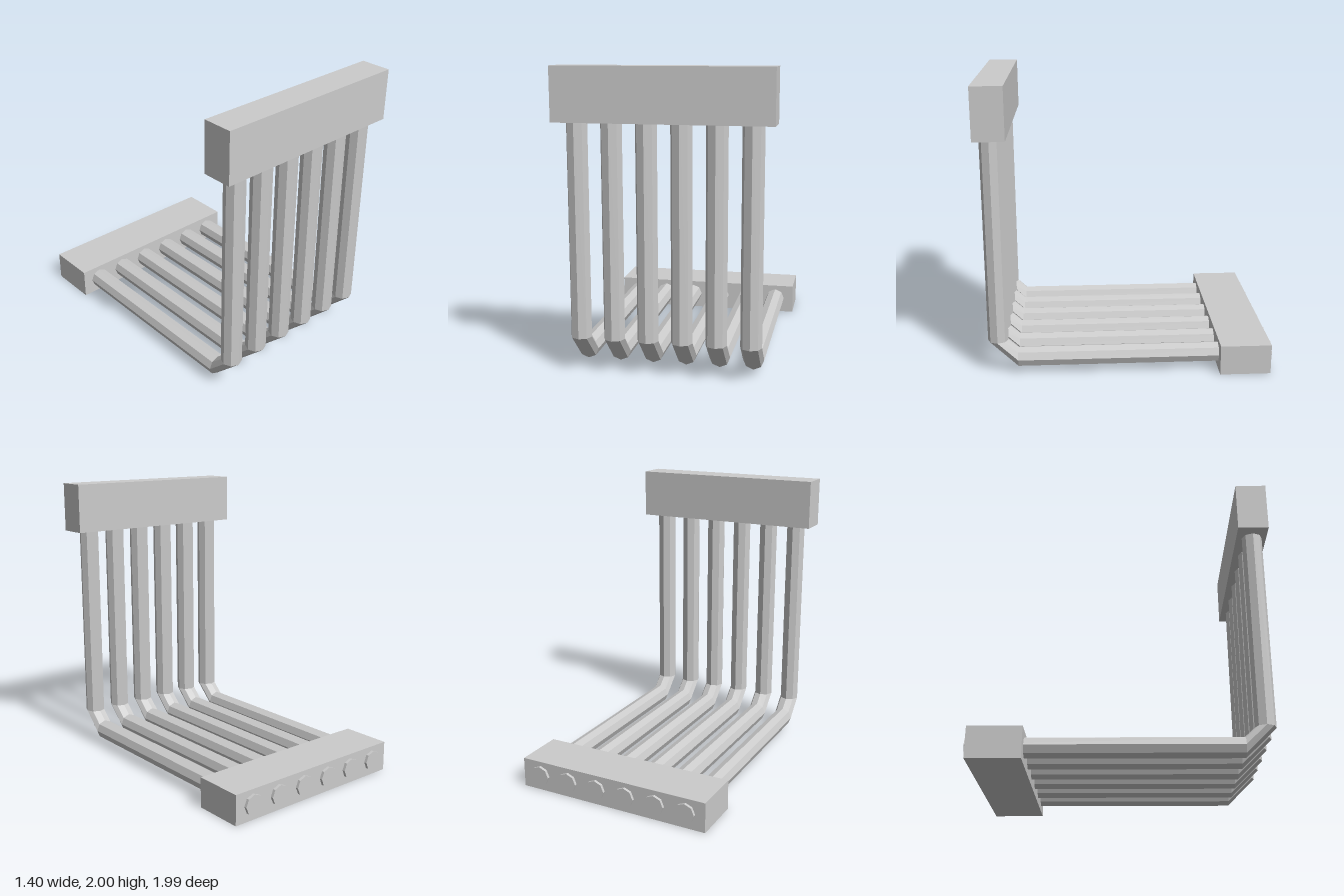
import * as THREE from 'three';

const SIDES = 8;
const RADIUS = 0.07;
const material = new THREE.MeshStandardMaterial({ color: 0xcccccc, flatShading: true });

// Bent octagonal pipe: two rings square to the upright leg, two square to the flat leg
function pipeGeometry() {
  const rings = [
    { y: 1.9, z: 0.895, upright: true },
    { y: 0.24, z: 0.895, upright: true },
    { y: 0.11, z: 0.76, upright: false },
    { y: 0.11, z: -0.995, upright: false },
  ];
  const point = (ring, i) => {
    const a = (i / SIDES) * Math.PI * 2;
    const out = RADIUS * Math.sin(a);
    return [
      RADIUS * Math.cos(a),
      ring.y - (ring.upright ? 0 : out),
      ring.z + (ring.upright ? out : 0),
    ];
  };
  const first = rings[0];
  const last = rings[rings.length - 1];
  const positions = [];
  for (let i = 0; i < SIDES; i++) {
    // Walls
    for (let j = 0; j < rings.length - 1; j++) {
      const a = point(rings[j], i);
      const b = point(rings[j], i + 1);
      const c = point(rings[j + 1], i + 1);
      const d = point(rings[j + 1], i);
      positions.push(...a, ...b, ...d, ...b, ...c, ...d);
    }
    // End caps
    positions.push(0, first.y, first.z, ...point(first, i + 1), ...point(first, i));
    positions.push(0, last.y, last.z, ...point(last, i), ...point(last, i + 1));
  }
  const geometry = new THREE.BufferGeometry();
  geometry.setAttribute('position', new THREE.Float32BufferAttribute(positions, 3));
  geometry.computeVertexNormals();
  return geometry;
}

function block(name, height, depth, y, z) {
  const mesh = new THREE.Mesh(new THREE.BoxGeometry(1.4, height, depth), material);
  mesh.name = name;
  mesh.position.set(0, y, z);
  return mesh;
}

export function createModel() {
  const model = new THREE.Group();
  model.name = 'pinHeader';

  // Housing blocks at both ends of the pins
  model.add(block('upperBlock', 0.35, 0.21, 1.825, 0.89));
  model.add(block('lowerBlock', 0.21, 0.35, 0.105, -0.8));

  // Row of bent pins
  const pins = new THREE.Group();
  pins.name = 'pins';
  const geometry = pipeGeometry();
  for (let i = 0; i < 6; i++) {
    const pin = new THREE.Mesh(geometry, material);
    pin.name = `bentPin${i + 1}`;
    pin.position.x = (i - 2.5) * 0.224;
    pins.add(pin);
  }
  model.add(pins);
  return model;
}
